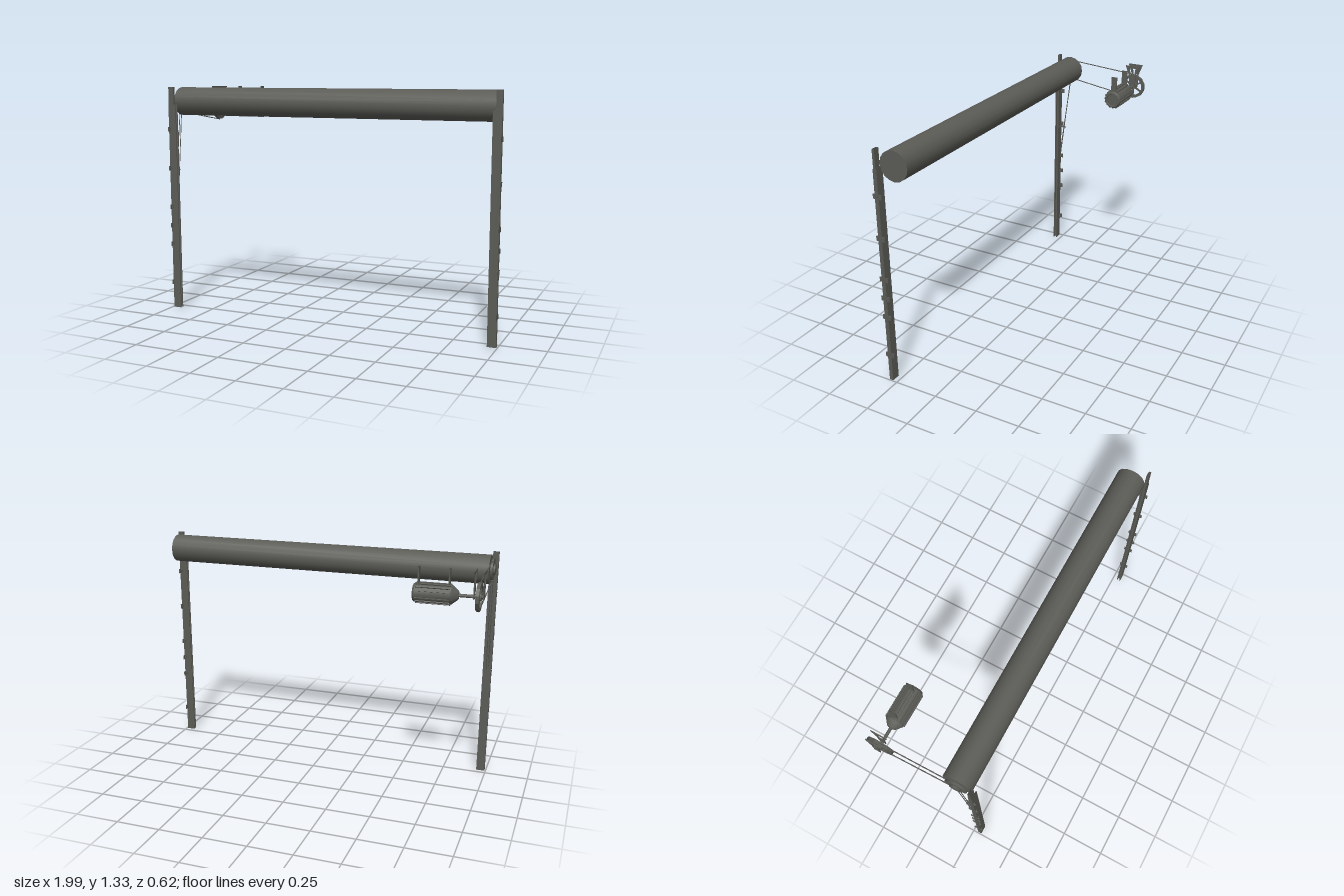
import * as THREE from 'three';
import { toCreasedNormals } from 'three/addons/utils/BufferGeometryUtils.js';

const steel = new THREE.MeshStandardMaterial({ color: 0x5b5c56, side: THREE.DoubleSide });
steel.name = 'dark steel';

export function createModel() {
  const model = new THREE.Group();
  model.name = 'rollerDoorFrame';

  const add = (name, geo, x = 0, y = 0, z = 0, parent = model) => {
    const mesh = new THREE.Mesh(geo, steel);
    mesh.name = name;
    mesh.position.set(x, y, z);
    parent.add(mesh);
    return mesh;
  };
  const box = (w, h, d) => new THREE.BoxGeometry(w, h, d);
  // Box without its top and bottom caps
  const openBox = (w, h, d) => {
    const g = box(w, h, d);
    const index = Array.from(g.index.array);
    g.setIndex(index.filter((_, i) => i < 12 || i >= 24));
    g.clearGroups();
    return g;
  };
  // Cylinder lying along x
  const rod = (r, length, sides = 12) =>
    toCreasedNormals(new THREE.CylinderGeometry(r, r, length, sides).rotateZ(Math.PI / 2), 0.6);
  // Flat profile in (z, y), given thickness along x
  const plate = (shape, t) =>
    new THREE.ExtrudeGeometry(shape, { depth: t, bevelEnabled: false, curveSegments: 3 })
      .translate(0, 0, -t / 2).rotateY(-Math.PI / 2);
  const ring = (outer, inner, sides) => {
    const circle = (r) => Array.from({ length: sides }, (_, i) => {
      const a = (i + 0.5) / sides * Math.PI * 2;
      return new THREE.Vector2(Math.cos(a) * r, Math.sin(a) * r);
    });
    const s = new THREE.Shape(circle(outer));
    s.holes.push(new THREE.Path(circle(inner)));
    return s;
  };

  // Drum
  const drumY = 1.244, drumZ = 0.202;
  add('drum', rod(0.082, 1.92, 16), -0.003, drumY, drumZ);
  add('drumSprocket', rod(0.062, 0.012, 12), -0.974, drumY, drumZ);
  add('drumAxle', rod(0.03, 0.03, 12), -0.975, drumY, drumZ);

  // Guide posts with an outer web, two flanges and wall lugs
  for (const s of [-1, 1]) {
    const post = new THREE.Group();
    post.name = s < 0 ? 'rightPost' : 'leftPost';
    model.add(post);
    add('wallAngle', openBox(0.034, 1.328, 0.014), s * 0.977, 0.664, 0.288, post);
    for (const z of [0.2795, 0.2975])
      add('guideFlange', openBox(0.048, 1.225, 0.005), s * 0.969, 0.6125, z, post);
    for (const y of [0.158, 0.393, 0.505, 0.617, 0.85, 1.08]) {
      add('wallLug', box(0.006, 0.026, 0.052), s * 0.99, y, 0.286, post);
      add('lugBolt', box(0.012, 0.014, 0.036), s * 0.985, y, 0.286, post);
    }
  }

  // Drive wheel with rim, hub and spokes
  const axisY = 1.192, axisZ = -0.237;
  const wheel = new THREE.Group();
  wheel.name = 'driveWheel';
  wheel.position.set(-0.973, axisY, axisZ);
  model.add(wheel);
  add('rim', plate(ring(0.075, 0.058, 12), 0.018), 0, 0, 0, wheel);
  add('hub', rod(0.02, 0.024), 0, 0, 0, wheel);
  for (let i = 0; i < 3; i++)
    add('spoke', box(0.008, 0.122, 0.01), 0, 0, 0, wheel).rotation.x = i * Math.PI / 3;
  add('driveShaft', rod(0.009, 0.17, 10), -0.915, axisY, axisZ);

  // Wheel hangers: flared plates with an opening
  const hanger = new THREE.Shape();
  [[-0.047, 0.135], [-0.022, 0.07], [-0.018, -0.012], [0.018, -0.012], [0.022, 0.07], [0.047, 0.135]]
    .forEach(([z, y], i) => i ? hanger.lineTo(z, y) : hanger.moveTo(z, y));
  hanger.holes.push(new THREE.Path([[-0.02, 0.12], [-0.01, 0.06], [0.01, 0.06], [0.02, 0.12]]
    .map(([z, y]) => new THREE.Vector2(z, y))));
  for (const x of [-0.997, -0.948])
    add('wheelHanger', plate(hanger, 0.005), x, axisY, axisZ);

  // Motor: turned housing, cooling ribs and flat hangers
  const profile = [[0, -0.87], [0.018, -0.87], [0.026, -0.865], [0.046, -0.84], [0.051, -0.835],
    [0.051, -0.645], [0.045, -0.635], [0.036, -0.635], [0.034, -0.639], [0, -0.639]]
    .map(([r, x]) => new THREE.Vector2(r, x));
  add('motorHousing', toCreasedNormals(new THREE.LatheGeometry(profile, 16).rotateZ(-Math.PI / 2), 0.5),
    0, axisY, axisZ);
  const ribs = new THREE.Group();
  ribs.name = 'motorRibs';
  ribs.position.set(-0.74, axisY, axisZ);
  model.add(ribs);
  for (let i = 0; i < 16; i++) {
    const a = i / 16 * Math.PI * 2;
    add('rib', box(0.18, 0.008, 0.007), 0, Math.cos(a) * 0.0525, Math.sin(a) * 0.0525, ribs).rotation.x = a;
  }
  for (const x of [-0.82, -0.66])
    add('motorHanger', openBox(0.006, 0.09, 0.035), x, 1.283, axisZ);

  // Drive chain between the drum and the wheel
  const strand = (name, points, closed = false, r = 0.003) => {
    const path = new THREE.CurvePath();
    const pts = points.map((p) => new THREE.Vector3(...p));
    if (closed) pts.push(pts[0].clone());
    for (let i = 0; i + 1 < pts.length; i++) path.add(new THREE.LineCurve3(pts[i], pts[i + 1]));
    path.curves.forEach((c) => add(name, new THREE.TubeGeometry(c, 1, r, 6)));
  };
  strand('driveChain', [[-0.975, 1.298, 0.15], [-0.975, 1.267, -0.237]]);
  strand('driveChain', [[-0.975, 1.178, 0.17], [-0.975, 1.115, -0.237]]);

  // Hand chain loop and its keeper
  strand('handChain', [[-0.978, 1.18, 0.205], [-0.978, 0.665, 0.273], [-0.974, 0.645, 0.27],
    [-0.968, 0.645, 0.266], [-0.966, 0.665, 0.263], [-0.968, 1.18, 0.203]], true, 0.0025);
  add('chainKeeper', box(0.012, 0.006, 0.05), -0.972, 0.835, 0.26);

  return model;
}
